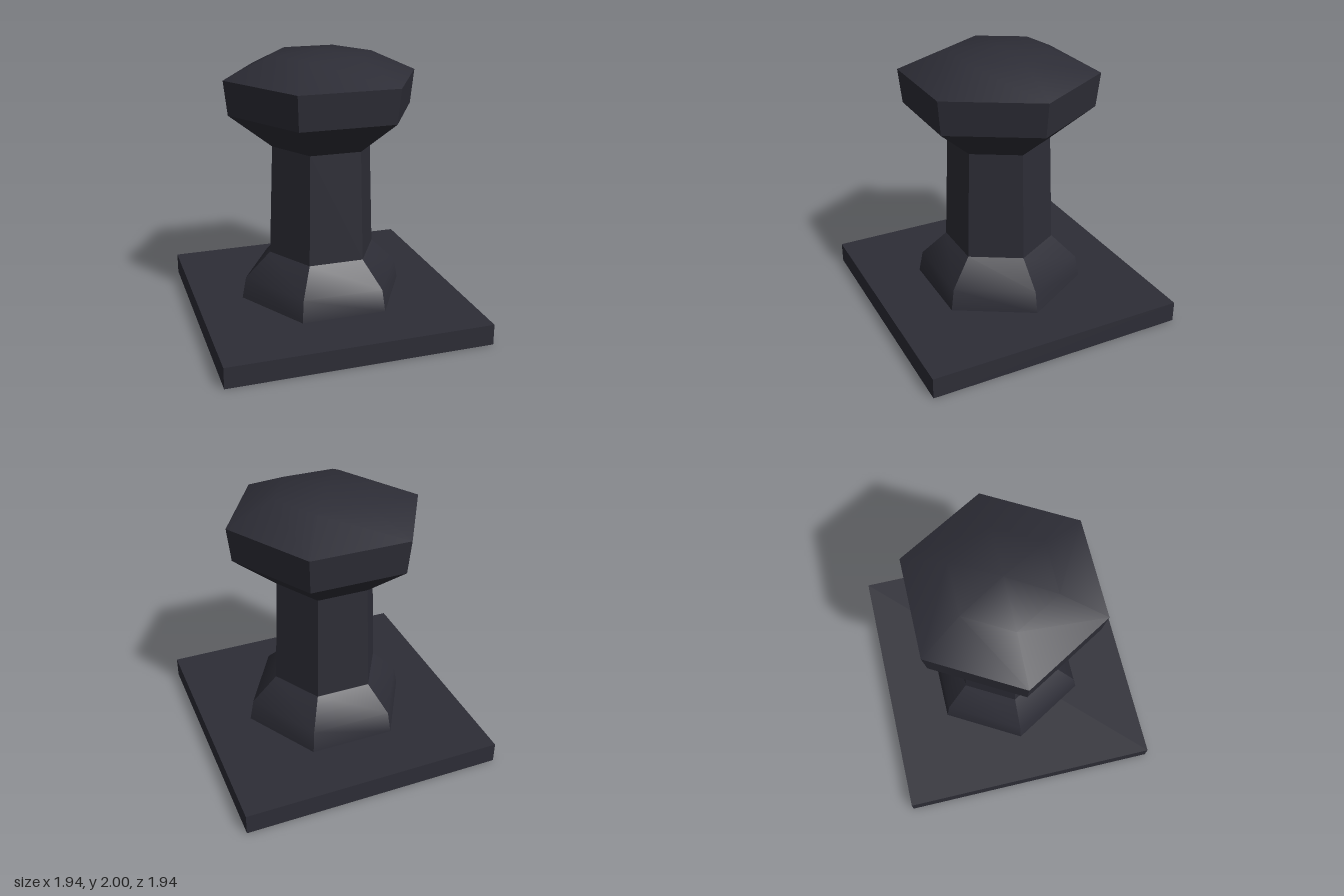
import * as THREE from 'three';
import { toCreasedNormals } from 'three/addons/utils/BufferGeometryUtils.js';

export function createModel() {
  const model = new THREE.Group();
  const darkIron = new THREE.MeshStandardMaterial({ color: 0x2d2d36 });
  darkIron.name = 'dark iron';

  const add = (name, geometry) => {
    const mesh = new THREE.Mesh(geometry, darkIron);
    mesh.name = name;
    model.add(mesh);
    return mesh;
  };

  // Hexagonal turned part with corners on the x axis; profile is [radius, y] from the bottom up
  const addHexPart = (name, profile) => {
    const points = profile.map(([r, y]) => new THREE.Vector2(r, y));
    const lathe = new THREE.LatheGeometry(points, 6, Math.PI / 2);
    return add(name, toCreasedNormals(lathe, 0.66));
  };

  // Square plate the post stands on
  add('basePlate', new THREE.BoxGeometry(1.94, 0.155, 1.94)).position.y = 0.0775;

  // Flared foot, tapering shaft, and wide head with a shallow dome
  addHexPart('foot', [[0.625, 0.155], [0.595, 0.315], [0.405, 0.5]]);
  addHexPart('shaft', [[0.405, 0.5], [0.375, 1.315]]);
  addHexPart('head', [[0.375, 1.315], [0.69, 1.565], [0.718, 1.815], [0.375, 1.97], [0, 2]]);

  return model;
}
